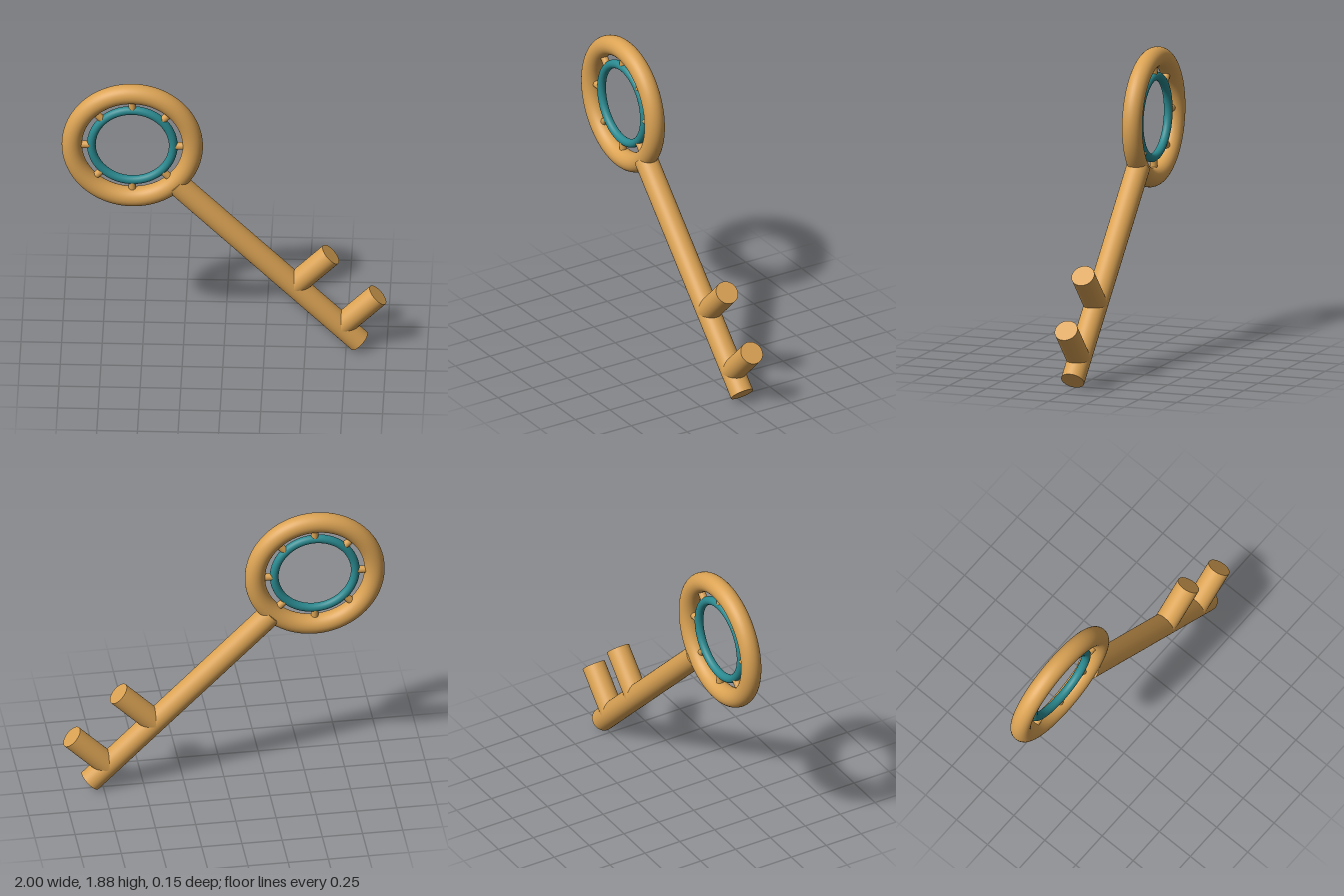
import * as THREE from 'three';

export function createModel() {
  const key = new THREE.Group();
  key.name = 'key';

  const gold = new THREE.MeshStandardMaterial({ color: 0xdba354 });
  gold.name = 'warm gold';
  const teal = new THREE.MeshStandardMaterial({ color: 0x2a8a90 });
  teal.name = 'teal';

  // The key is built upright, ring centre at the origin, shaft along -y
  const add = (name, geometry, material) => {
    const mesh = new THREE.Mesh(geometry, material);
    mesh.name = name;
    key.add(mesh);
    return mesh;
  };

  const ringRadius = 0.372, innerRadius = 0.252;
  const rodRadius = 0.073;

  // Bow: outer ring and smaller inlaid ring
  add('outerRing', new THREE.TorusGeometry(ringRadius, 0.0625, 32, 96), gold);
  add('innerRing', new THREE.TorusGeometry(innerRadius, 0.027, 24, 96), teal);

  // Pegs joining the two rings
  for (let i = 0; i < 8; i++) {
    const angle = (i + 0.5) * Math.PI / 4 + Math.PI / 8;
    const r = 0.305;
    const peg = add('peg', new THREE.CylinderGeometry(0.023, 0.023, 0.09, 20), gold);
    peg.position.set(Math.cos(angle) * r, Math.sin(angle) * r, 0);
    peg.rotation.z = angle - Math.PI / 2;
  }

  // Shaft from the core of the outer ring to the tip
  const shaftStart = 0.378, shaftEnd = 1.976;
  const shaft = add('shaft',
    new THREE.CylinderGeometry(rodRadius, rodRadius, shaftEnd - shaftStart, 48), gold);
  shaft.position.y = -(shaftStart + shaftEnd) / 2;

  // Two round teeth starting at the shaft axis
  const toothLength = 0.318;
  for (const along of [1.409, 1.819]) {
    const tooth = add('tooth',
      new THREE.CylinderGeometry(rodRadius, rodRadius, toothLength, 48), gold);
    tooth.position.set(toothLength / 2, -along, 0);
    tooth.rotation.z = -Math.PI / 2;
  }

  // Tilt the whole key to the diagonal
  key.rotation.z = Math.PI / 4;
  key.position.set(-0.565, 1.452, 0);

  const model = new THREE.Group();
  model.name = 'keyModel';
  model.add(key);
  return model;
}
